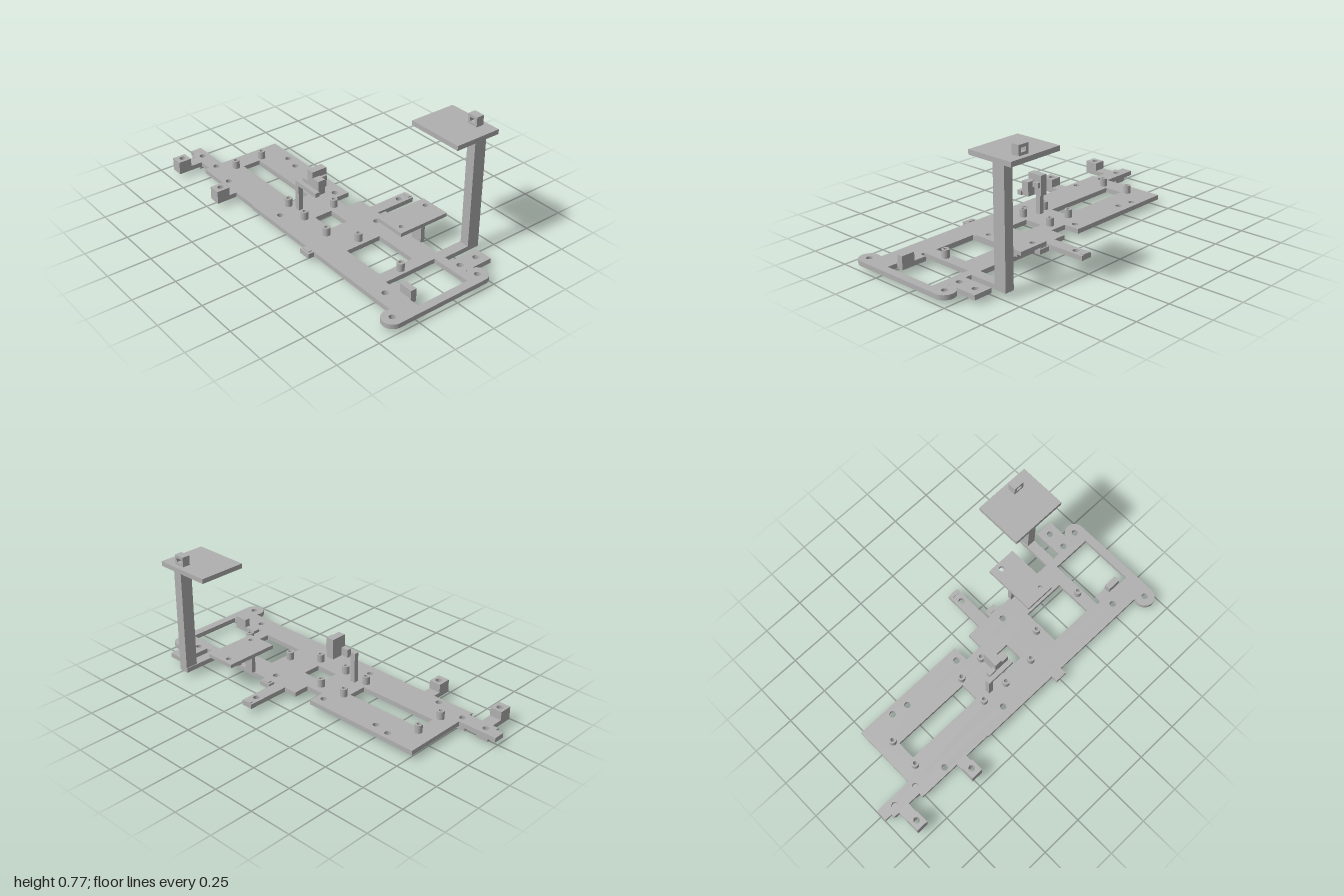
import * as THREE from 'three';

const BOTTOM = 0.028, TOP = 0.055;

function outline(points) {
  return new THREE.Shape(points.map(([x, y]) => new THREE.Vector2(x, y)));
}

function rect(x0, y0, x1, y1) {
  return outline([[x0, y0], [x1, y0], [x1, y1], [x0, y1]]);
}

function circle(x, y, r) {
  const path = new THREE.Path();
  path.absarc(x, y, r, 0, Math.PI * 2, false);
  return path;
}

// Extrudes a shape drawn in x and z between two heights
function slab(shape, y0, y1, curveSegments = 16) {
  return new THREE.ExtrudeGeometry(shape, { depth: y1 - y0, bevelEnabled: false, curveSegments })
    .rotateX(Math.PI / 2).translate(0, y1, 0);
}

// Extrudes a shape drawn in x and y between two depths
function wall(shape, z0, z1) {
  return new THREE.ExtrudeGeometry(shape, { depth: z1 - z0, bevelEnabled: false }).translate(0, 0, z0);
}

export function createModel() {
  const model = new THREE.Group();
  model.name = 'mountingChassis';
  const grey = new THREE.MeshStandardMaterial({ color: 0xb0b0b0 });
  grey.name = 'plain grey';

  const add = (name, geometry, parent = model) => {
    const mesh = new THREE.Mesh(geometry, grey);
    mesh.name = name;
    parent.add(mesh);
    return mesh;
  };
  const box = (name, x0, x1, y0, y1, z0, z1, parent) =>
    add(name, new THREE.BoxGeometry(x1 - x0, y1 - y0, z1 - z0)
      .translate((x0 + x1) / 2, (y0 + y1) / 2, (z0 + z1) / 2), parent);
  const group = (name) => {
    const g = new THREE.Group();
    g.name = name;
    model.add(g);
    return g;
  };

  // Base plate: rear edge with its arms, round ears, then front edge with its tabs
  const plate = outline([
    [-0.77, -0.16], [-0.06, -0.16], [-0.06, -0.065], [0.05, -0.065], [0.05, -0.16],
    [0.13, -0.16], [0.13, -0.412], [0.2, -0.412], [0.2, -0.16],
    [0.215, -0.16], [0.215, -0.2], [0.285, -0.2], [0.285, -0.16],
    [0.675, -0.16], [0.675, -0.39], [0.735, -0.39], [0.735, -0.16],
    [0.775, -0.16], [0.775, -0.338], [0.885, -0.338], [0.885, -0.16],
  ]);
  plate.absarc(0.94, -0.19, 0.058, Math.PI * 5 / 6, Math.PI * 2, false);
  plate.absarc(0.94, 0.37, 0.058, 0, Math.PI * 7 / 6, false);
  for (const [x, z] of [
    [0.285, 0.34], [0.285, 0.378], [0.215, 0.378], [0.215, 0.34],
    [-0.28, 0.34], [-0.28, 0.335], [-0.445, 0.335], [-0.445, 0.39], [-0.515, 0.39], [-0.515, 0.335],
    [-0.77, 0.335], [-0.77, 0.31], [-0.85, 0.31], [-0.85, 0.39], [-0.92, 0.39], [-0.92, 0.31],
    [-0.955, 0.31], [-0.955, 0.29], [-1, 0.29], [-1, 0.222], [-0.77, 0.222],
  ]) plate.lineTo(x, z);
  plate.holes.push(
    rect(-0.66, 0.03, -0.18, 0.14),
    rect(0.03, 0.03, 0.165, 0.14),
    rect(0.38, -0.02, 0.64, 0.2),
    outline([[0.71, -0.11], [0.95, -0.11], [0.95, 0.215], [0.89, 0.215], [0.89, 0.175],
      [0.735, 0.175], [0.735, 0.215], [0.71, 0.215]]),
  );

  // Screw holes
  for (const [x, z] of [
    [-0.575, -0.118], [-0.48, -0.1], [-0.105, -0.1], [0.26, -0.1], [-0.105, 0.275], [0.775, 0.275],
    [0.83, -0.285], [0.83, -0.175], [0.94, -0.19], [0.94, 0.37], [-0.575, 0.3],
    [-0.76, 0.265], [-0.91, 0.265], [0.165, -0.34],
  ]) plate.holes.push(circle(x, z, 0.018));

  // Hollow standoffs, bored through the plate
  const standoffs = group('standoffs');
  for (const [x, z] of [
    [-0.68, 0], [-0.68, 0.18], [-0.16, 0], [-0.16, 0.18], [0, -0.01],
    [0, 0.19], [0.195, 0.19], [0.34, 0.09], [0.675, 0.09],
  ]) {
    plate.holes.push(circle(x, z, 0.011));
    const ring = new THREE.Shape();
    ring.absarc(x, z, 0.021, 0, Math.PI * 2, false);
    ring.holes.push(circle(x, z, 0.011));
    add('standoff', slab(ring, TOP, 0.102), standoffs);
  }
  add('basePlate', slab(plate, BOTTOM, TOP));

  // Blocks on the front tabs and pads below the side arm
  for (const x of [-0.885, -0.48]) {
    const block = rect(x - 0.035, 0.38, x + 0.035, 0.458);
    block.holes.push(circle(x, 0.415, 0.018));
    add('tabBlock', slab(block, BOTTOM, 0.104));
  }
  for (const x of [-0.908, -0.76]) box('underPad', x - 0.037, x + 0.037, 0, BOTTOM, 0.235, 0.308);

  // Small raised clips on the edge tabs
  for (const [x, z] of [[0.25, -0.18], [0.25, 0.355], [0.165, -0.4]]) {
    box('edgeClip', x - 0.022, x + 0.022, TOP, 0.06, z - 0.012, z + 0.012);
  }

  // Upright stop beside the end window
  box('endStop', 0.81, 0.89, TOP, 0.104, 0.175, 0.21);

  // Raised shelf on a wall with an opening
  const shelf = group('raisedShelf');
  const deck = rect(0.375, -0.328, 0.558, -0.012);
  deck.holes.push(circle(0.51, -0.055, 0.014), circle(0.435, -0.29, 0.016));
  add('shelfDeck', slab(deck, 0.147, 0.169), shelf);
  add('shelfWall', wall(outline([
    [0.375, TOP], [0.43, TOP], [0.43, 0.095], [0.49, 0.095], [0.49, TOP],
    [0.558, TOP], [0.558, 0.147], [0.375, 0.147],
  ]), -0.175, -0.15), shelf);

  // Tall mast carrying a platform and a cable loop
  const mast = group('mast');
  box('mastPost', 0.68, 0.735, BOTTOM, 0.685, -0.394, -0.32, mast);
  box('mastPlatform', 0.422, 0.755, 0.684, 0.711, -0.458, -0.18, mast);
  const loop = rect(0.61, 0.711, 0.674, 0.766);
  loop.holes.push(rect(0.625, 0.726, 0.66, 0.75));
  add('cableLoop', wall(loop, -0.43, -0.384), mast);

  // Cantilevered bracket above the middle of the plate
  const bracket = group('centreBracket');
  box('bracketPost', -0.11, -0.08, TOP, 0.235, 0.14, 0.168, bracket);
  box('bracketBar', -0.08, 0.07, 0.21, 0.235, 0.14, 0.168, bracket);
  box('holderPlate', -0.035, 0.01, 0.21, 0.328, 0.048, 0.14, bracket);
  box('holderSide', 0.01, 0.06, 0.21, 0.293, 0.095, 0.14, bracket);
  box('holderLug', 0.01, 0.025, 0.258, 0.288, 0.055, 0.095, bracket);
  box('holderStep', -0.08, -0.035, 0.21, 0.258, 0.115, 0.142, bracket);

  return model;
}
